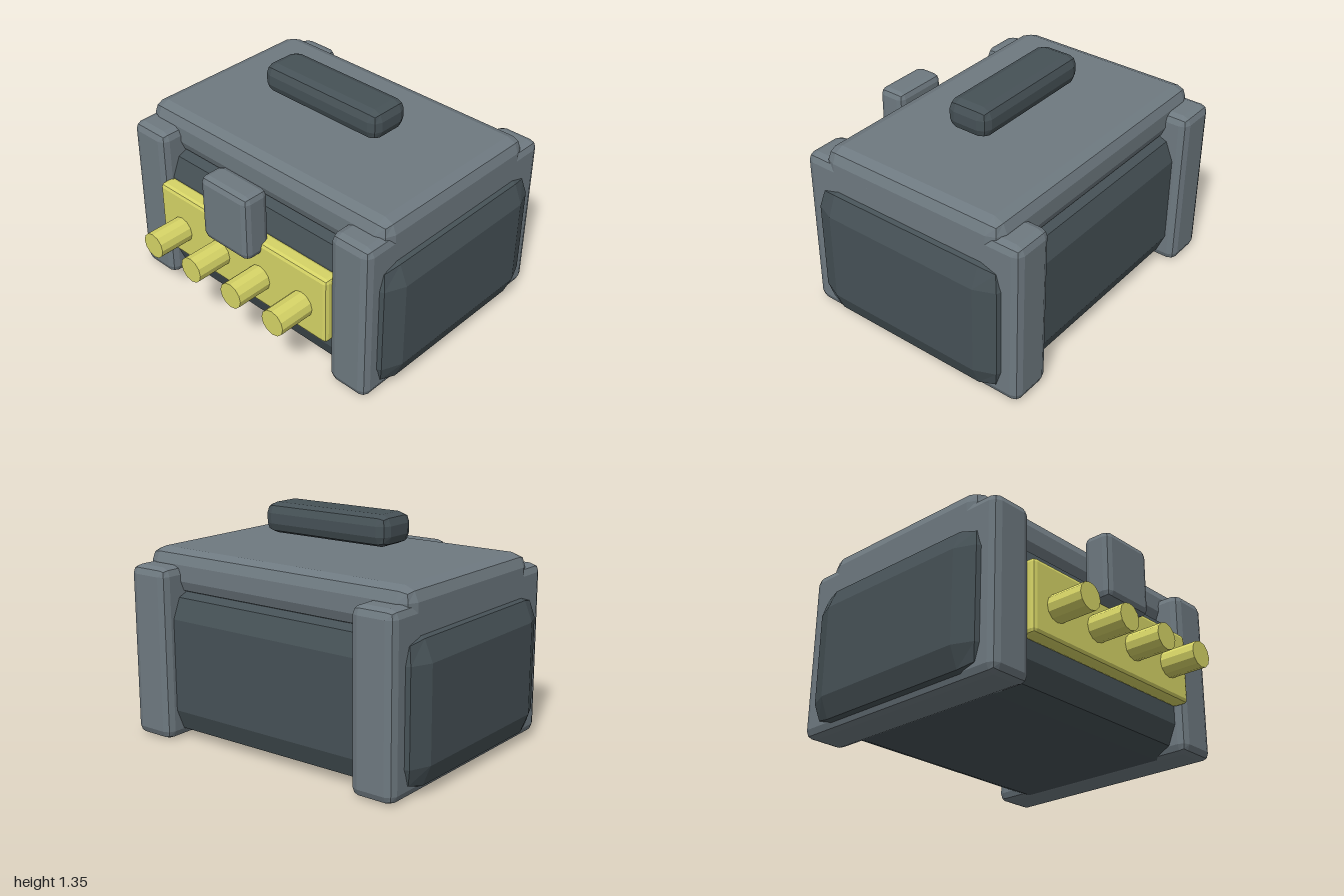
import * as THREE from 'three';
import { RoundedBoxGeometry } from 'three/addons/geometries/RoundedBoxGeometry.js';

export function createModel() {
  const model = new THREE.Group();
  model.name = 'toolbox';

  const material = (name, color) => {
    const m = new THREE.MeshStandardMaterial({ color, flatShading: true });
    m.name = name;
    return m;
  };
  const dark = material('dark slate', 0x465156);
  const grey = material('slate grey', 0x6e7980);
  const yellow = material('yellow', 0xd6d466);

  // Box with two-step bevelled edges, given by its extents
  function block(name, mat, [x0, x1], [y0, y1], [z0, z1], bevel) {
    const geometry = new RoundedBoxGeometry(x1 - x0, y1 - y0, z1 - z0, 1, bevel);
    geometry.computeVertexNormals();
    const mesh = new THREE.Mesh(geometry, mat);
    mesh.name = name;
    mesh.position.set((x0 + x1) / 2, (y0 + y1) / 2, (z0 + z1) / 2);
    model.add(mesh);
  }

  // Main case, lid and floating handle
  block('body', dark, [-1, 1], [0.004, 0.89], [-0.8, 0.55], 0.17);
  block('lid', grey, [-0.925, 0.925], [0.85, 1.105], [-0.735, 0.475], 0.08);
  block('handle', dark, [-0.435, 0.435], [1.17, 1.35], [-0.265, 0.01], 0.06);

  // Side frames running the full depth
  block('leftFrame', grey, [0.655, 0.925], [0, 1.02], [-0.87, 0.61], 0.05);
  block('rightFrame', grey, [-0.925, -0.655], [0, 1.02], [-0.87, 0.61], 0.05);

  // Front latch and control plate
  block('latch', grey, [-0.182, 0.182], [0.635, 1.05], [0.575, 0.75], 0.04);
  block('controlPlate', yellow, [-0.67, 0.67], [0.28, 0.715], [0.54, 0.645], 0.025);

  // Row of knobs on the plate
  const knobGeometry = new THREE.CylinderGeometry(0.08, 0.08, 0.3, 12).rotateX(Math.PI / 2);
  for (let i = 0; i < 4; i++) {
    const knob = new THREE.Mesh(knobGeometry, yellow);
    knob.name = 'knob' + (i + 1);
    knob.position.set((i - 1.5) * 0.326, 0.47, 0.72);
    model.add(knob);
  }

  return model;
}
